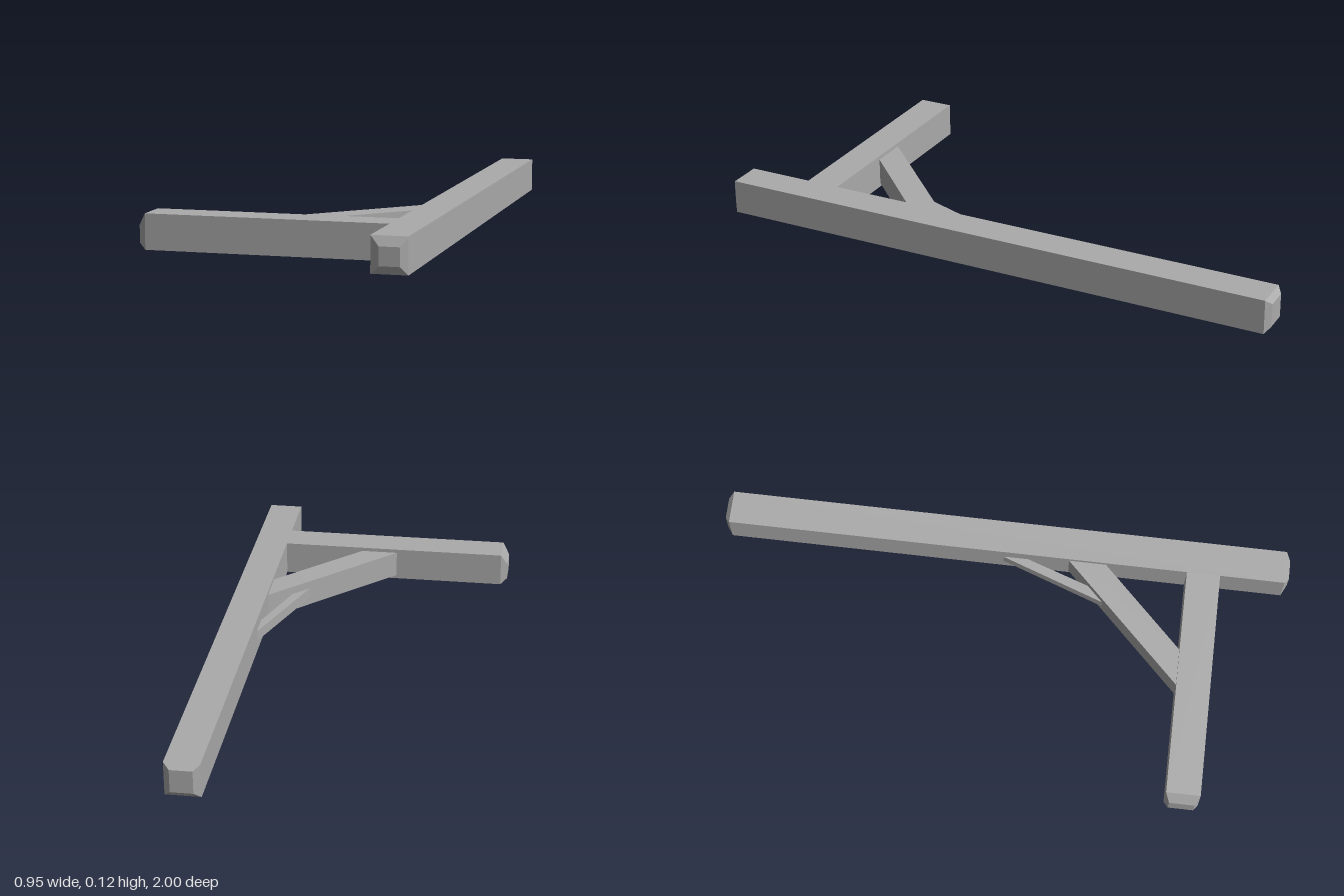
import * as THREE from 'three';

// Beam lofted through four-cornered sections [t, u0, v0, u1, v1], capped at both ends
function loft(sections, place) {
  const rings = sections.map(([t, u0, v0, u1, v1]) =>
    [[u0, v0], [u1, v0], [u1, v1], [u0, v1]].map(([u, v]) => place(t, u, v)));
  const pos = [];
  const quad = (a, b, c, d) => pos.push(...a, ...b, ...c, ...a, ...c, ...d);
  for (let k = 0; k < rings.length - 1; k++) {
    const a = rings[k], b = rings[k + 1];
    for (let i = 0; i < 4; i++) {
      const j = (i + 1) % 4;
      quad(a[i], a[j], b[j], b[i]);
    }
  }
  const first = rings[0], last = rings[rings.length - 1];
  quad(first[3], first[2], first[1], first[0]);
  quad(...last);
  const g = new THREE.BufferGeometry();
  g.setAttribute('position', new THREE.Float32BufferAttribute(pos, 3));
  g.computeVertexNormals();
  return g;
}

// Flat bar from an [x, z] plan outline, between heights y0 and y1
function bar(outline, y0, y1) {
  const shape = new THREE.Shape(outline.map(([x, z]) => new THREE.Vector2(x, z)));
  const g = new THREE.ExtrudeGeometry(shape, { depth: y1 - y0, bevelEnabled: false });
  g.rotateX(Math.PI / 2);
  g.translate(0, y1, 0);
  return g;
}

export function createModel() {
  const group = new THREE.Group();
  const wood = new THREE.MeshStandardMaterial({ color: 0xaaaaaa });
  wood.name = 'plain grey';
  const add = (name, geometry) => {
    const mesh = new THREE.Mesh(geometry, wood);
    mesh.name = name;
    group.add(mesh);
  };
  const H = 0.118;

  // Long post with roughly hewn ends
  add('post', loft([
    [-1, 0.378, 0.02, 0.453, 0.1],
    [-0.983, 0.356, 0, 0.474, H],
    [0.983, 0.356, 0, 0.474, H],
    [1, 0.386, 0.027, 0.452, 0.087],
  ], (t, u, v) => [u, v, t]));

  // Cross arm, chamfered at the free end
  add('arm', loft([
    [-0.474, 0.02, 0.655, 0.078, 0.742],
    [-0.45, 0, 0.64, H, 0.757],
    [0.37, 0, 0.64, H, 0.757],
  ], (t, u, v) => [t, u, v]));

  // Diagonal brace between arm and post
  add('brace', bar([[-0.07, 0.65], [0.06, 0.65], [0.37, 0.342], [0.37, 0.212]], 0.013, 0.105));

  // Thin strut between post and brace
  add('strut', bar([[0.355, -0.005], [0.225, 0.355], [0.25, 0.37], [0.28, 0.302], [0.36, 0.07]], 0.04, 0.077));

  return group;
}
